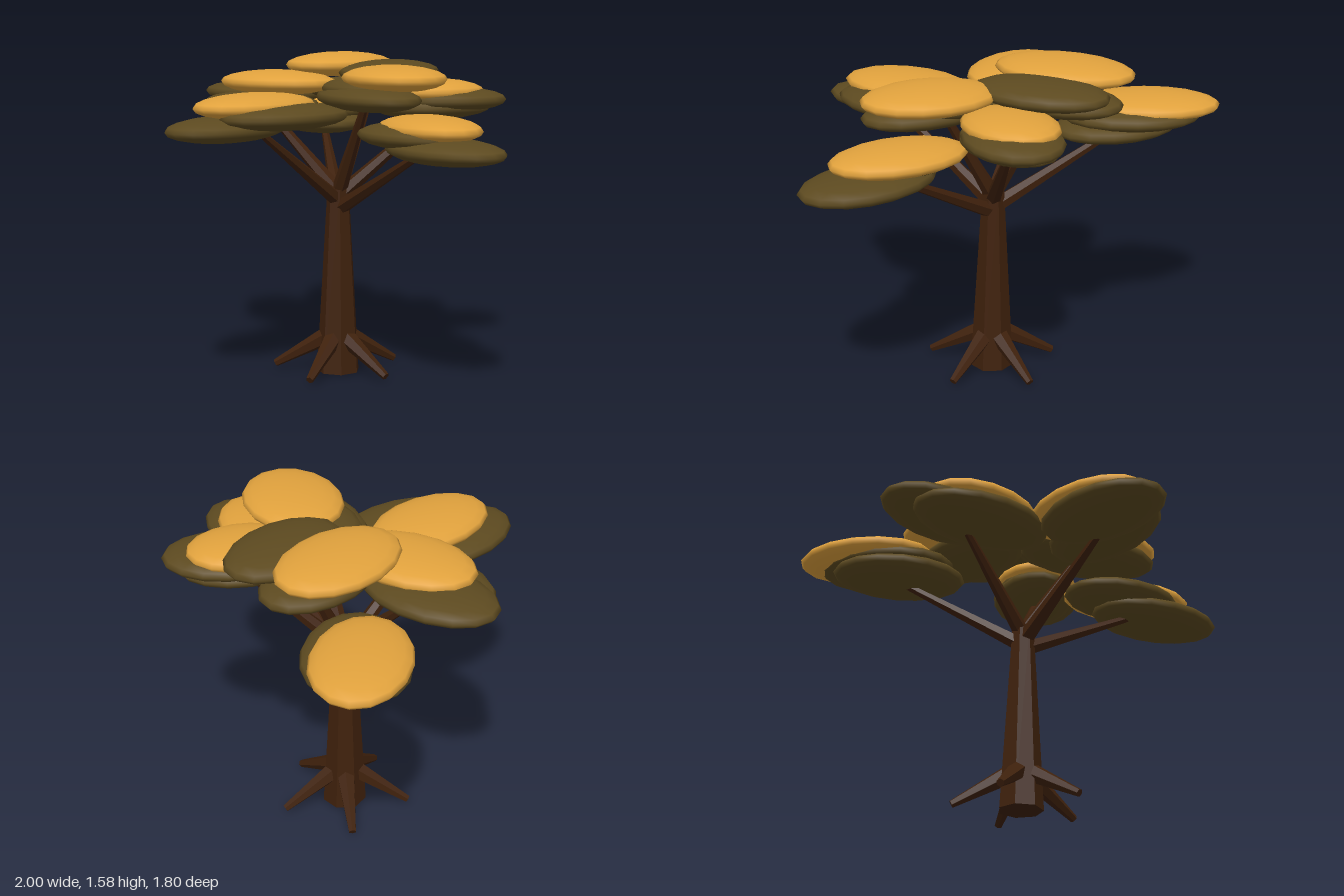
import * as THREE from 'three';

const bark = new THREE.MeshStandardMaterial({ color: 0x3f210c });
bark.name = 'bark';
bark.flatShading = true;
const shadeLeaf = new THREE.MeshStandardMaterial({ color: 0x5d4a20 });
shadeLeaf.name = 'olive leaf';
const goldLeaf = new THREE.MeshStandardMaterial({ color: 0xe1a23d });
goldLeaf.name = 'golden leaf';

const CX = -0.122, CZ = -0.127; // trunk axis
const UP = new THREE.Vector3(0, 1, 0);

// Tapered limb between two points
function limb(name, from, to, r0, r1, sides) {
  const a = new THREE.Vector3(...from), b = new THREE.Vector3(...to);
  const dir = b.clone().sub(a);
  const mesh = new THREE.Mesh(new THREE.CylinderGeometry(r1, r0, dir.length(), sides), bark);
  mesh.position.copy(a).add(b).multiplyScalar(0.5);
  mesh.quaternion.setFromUnitVectors(UP, dir.normalize());
  mesh.name = name;
  return mesh;
}

// Flattened leaf pad; the angle turns its long axis from +x towards +z
const padGeometry = new THREE.SphereGeometry(1, 16, 10);
function pad(name, material, x, y, z, long, wide, degrees) {
  const mesh = new THREE.Mesh(padGeometry, material);
  mesh.position.set(x, y, z);
  mesh.scale.set(long, 0.062, wide);
  mesh.rotation.y = -THREE.MathUtils.degToRad(degrees);
  mesh.name = name;
  return mesh;
}

// A branch ending under two olive pads, with a golden pad on top
function cluster(name, startY, lower, upper, gold) {
  const group = new THREE.Group();
  group.name = name;
  const tip = [0, 1, 2].map((k) => (lower[k] + upper[k]) / 2);
  tip[1] -= 0.03;
  group.add(
    limb('branch', [CX, startY, CZ], tip, 0.04, 0.016, 6),
    pad('shadePad', shadeLeaf, ...lower),
    pad('shadePad', shadeLeaf, ...upper),
    pad('goldenPad', goldLeaf, ...gold),
  );
  return group;
}

export function createModel() {
  const tree = new THREE.Group();
  tree.name = 'tree';

  // Trunk
  tree.add(limb('trunk', [CX, 0, CZ], [CX, 0.92, CZ], 0.108, 0.055, 7));

  // Five splayed roots
  for (let i = 0; i < 5; i++) {
    const t = (i / 5) * Math.PI * 2;
    const at = (r, y) => [CX + Math.cos(t) * r, y, CZ + Math.sin(t) * r];
    tree.add(limb('root', at(0.03, 0.19), at(0.32, 0.025), 0.05, 0.019, 6));
  }

  // Crown: each pad is x, y, z, half length, half width, angle
  tree.add(
    cluster('leftCluster', 0.82,
      [0.65, 1.17, -0.01, 0.35, 0.215, 12], [0.43, 1.225, -0.02, 0.305, 0.21, 15],
      [0.51, 1.26, -0.07, 0.335, 0.21, 23]),
    cluster('backRightCluster', 0.84,
      [-0.61, 1.205, -0.5, 0.325, 0.22, 28], [-0.64, 1.265, -0.565, 0.335, 0.22, 50],
      [-0.735, 1.3, -0.605, 0.345, 0.22, 52]),
    cluster('frontCluster', 0.86,
      [-0.185, 1.255, 0.55, 0.345, 0.215, 83], [0, 1.31, 0.35, 0.35, 0.21, 93],
      [-0.145, 1.355, 0.405, 0.35, 0.222, 85]),
    cluster('rightCluster', 0.9,
      [-0.5, 1.33, 0.035, 0.36, 0.23, 4], [-0.63, 1.375, -0.1, 0.345, 0.22, -6],
      [-0.45, 1.435, -0.035, 0.325, 0.225, -8]),
    cluster('backLeftCluster', 0.88,
      [0.2, 1.325, -0.45, 0.3, 0.21, -62], [0.25, 1.36, -0.5, 0.3, 0.225, -52],
      [0.2, 1.4, -0.45, 0.265, 0.21, -66]),
    cluster('innerLeftCluster', 0.9,
      [0.19, 1.385, 0, 0.36, 0.2, 18], [0.11, 1.42, -0.07, 0.28, 0.19, 20],
      [0.29, 1.48, -0.07, 0.325, 0.235, 28]),
    cluster('topCluster', 0.9,
      [-0.25, 1.4, -0.4, 0.32, 0.21, 82], [-0.06, 1.485, -0.43, 0.33, 0.212, 80],
      [-0.345, 1.518, -0.37, 0.345, 0.23, 80]),
  );
  return tree;
}
